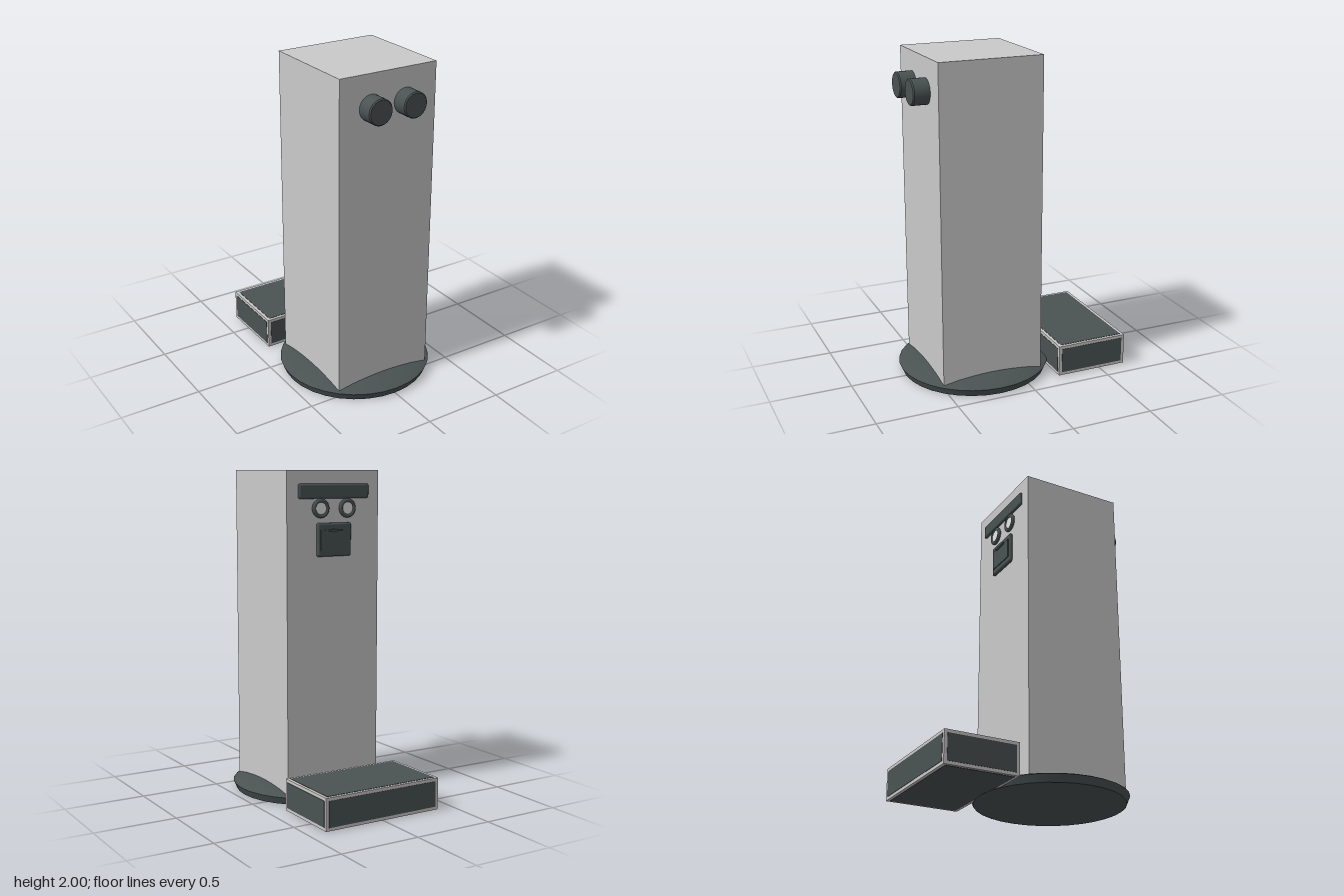
import * as THREE from 'three';
import { toCreasedNormals } from 'three/addons/utils/BufferGeometryUtils.js';
import { RoundedBoxGeometry } from 'three/addons/geometries/RoundedBoxGeometry.js';

const material = (name, color) => {
  const m = new THREE.MeshStandardMaterial({ color });
  m.name = name;
  return m;
};

export function createModel() {
  const light = material('light grey', 0xcacaca);
  const dark = material('dark slate', 0x4a5252);
  const frame = material('warm grey', 0xccc8c8);
  const white = material('lamp white', 0xe6e6e6);

  const model = new THREE.Group();
  model.name = 'towerRobot';

  const add = (name, geometry, mat, x, y, z, parent = model) => {
    const mesh = new THREE.Mesh(geometry, mat);
    mesh.name = name;
    mesh.position.set(x, y, z);
    parent.add(mesh);
    return mesh;
  };
  const box = (w, h, d) => new THREE.BoxGeometry(w, h, d);
  const lathe = (points, segments) => toCreasedNormals(
    new THREE.LatheGeometry(points.map(([r, y]) => new THREE.Vector2(r, y)), segments), 0.6);

  // Square column
  add('column', box(0.64, 1.985, 0.64), light, 0, 1.0075, 0.2);

  // Domed round foot
  add('foot', lathe([[0, 0], [0.45, 0], [0.469, 0.045], [0.45, 0.054], [0.39, 0.07],
    [0.32, 0.084], [0.2, 0.098], [0, 0.105]], 32), dark, 0, 0, 0.2);

  // Pair of forward cylinders with a small bevel
  const eyeProfile = [[0, 0], [0.077, 0], [0.077, 0.105], [0.071, 0.112], [0, 0.112]];
  for (const side of [-1, 1]) {
    const eye = add(side > 0 ? 'leftEye' : 'rightEye', lathe(eyeProfile, 32), dark,
      side * 0.115, 1.805, 0.508);
    eye.rotation.x = Math.PI / 2;
  }

  // Rear box: pale frame with a dark inset panel on every face
  const crate = new THREE.Group();
  crate.name = 'rearBox';
  crate.position.set(0, 0.1, -0.443);
  model.add(crate);
  const [w, h, d] = [0.78, 0.194, 0.454];
  const rim = 0.038, t = 0.004;
  add('boxFrame', box(w, h, d), frame, 0, 0, 0, crate);
  for (const s of [-1, 1]) {
    add(s > 0 ? 'topPanel' : 'bottomPanel', box(w - rim, t, d - rim), dark, 0, s * h / 2, 0, crate);
    add(s > 0 ? 'frontPanel' : 'backPanel', box(w - rim, h - rim, t), dark, 0, 0, s * d / 2, crate);
    add(s > 0 ? 'leftPanel' : 'rightPanel', box(t, h - rim, d - rim), dark, s * w / 2, 0, 0, crate);
  }

  // Rear controls: vent bar, lamps and hatch
  add('ventBar', new RoundedBoxGeometry(0.49, 0.088, 0.03, 3, 0.013), dark, 0, 1.877, -0.12);
  for (const side of [-1, 1]) {
    const x = side * 0.093;
    const name = side > 0 ? 'leftLamp' : 'rightLamp';
    add(name + 'Ring', new THREE.TorusGeometry(0.046, 0.012, 10, 28), dark, x, 1.776, -0.127);
    const lens = add(name + 'Lens', new THREE.CylinderGeometry(0.046, 0.046, 0.02, 28), white,
      x, 1.776, -0.123);
    lens.rotation.x = Math.PI / 2;
  }
  add('hatch', new RoundedBoxGeometry(0.236, 0.2, 0.036, 3, 0.013), dark, 0, 1.59, -0.12);
  add('hatchDoor', box(0.2, 0.125, 0.02), dark, 0, 1.588, -0.133);
  add('hatchHandle', box(0.09, 0.012, 0.016), dark, 0, 1.646, -0.144);

  return model;
}
